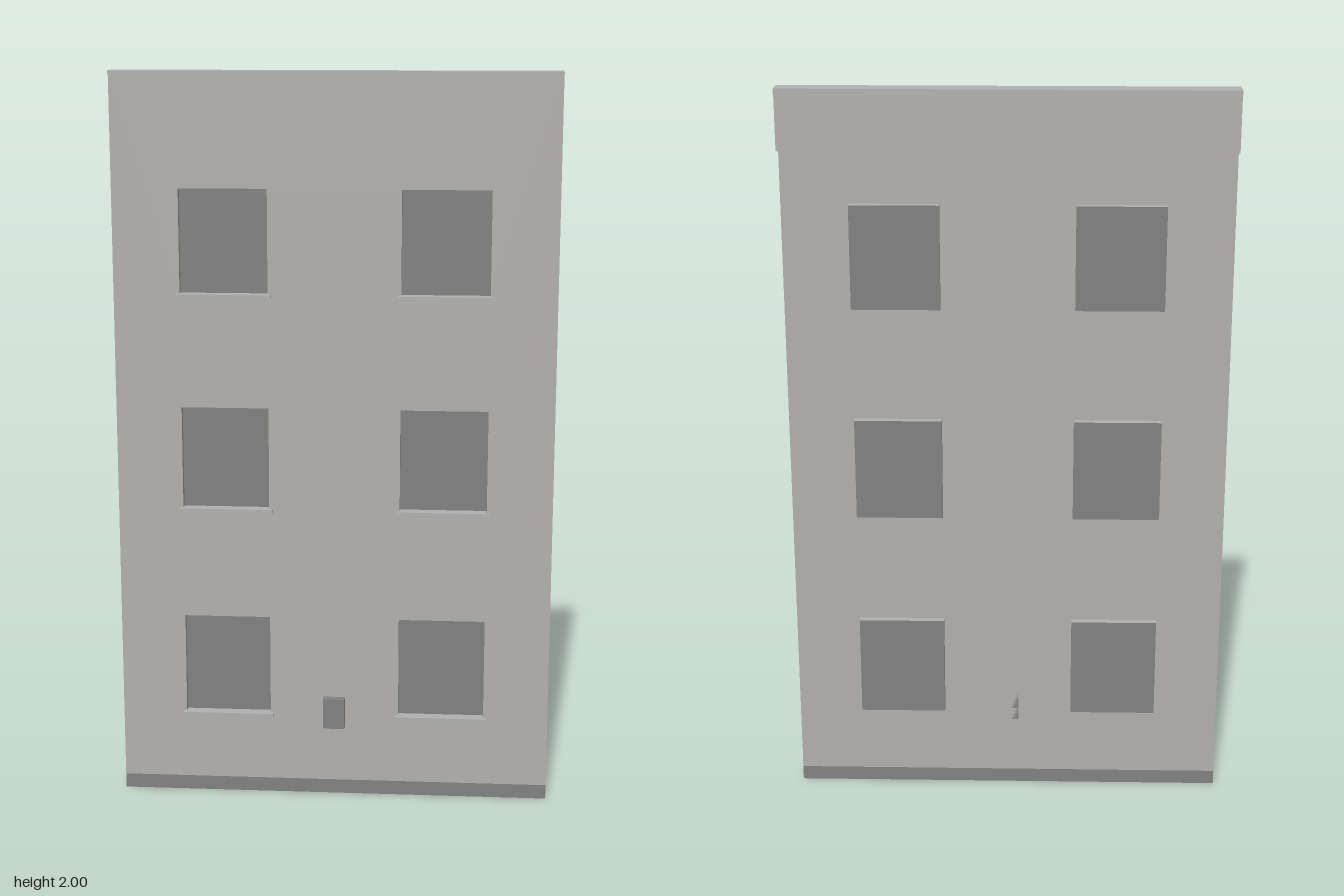
import * as THREE from 'three';

const W = 1.184;          // facade width
const WALL_Z = 0.012;     // plane of the wall
const GLASS_Z = -0.008;   // plane of the recessed panes
const WIN_W = 0.236, WIN_H = 0.28;

const makeMaterial = (name, color) => {
  const m = new THREE.MeshStandardMaterial({ color, side: THREE.DoubleSide });
  m.name = name;
  return m;
};

// Open sheet running along x, following a (z, y) profile
function sheet(profile, width) {
  const pos = [];
  const h = width / 2;
  for (let i = 0; i < profile.length - 1; i++) {
    const [z0, y0] = profile[i], [z1, y1] = profile[i + 1];
    pos.push(-h, y0, z0, h, y0, z0, h, y1, z1);
    pos.push(-h, y0, z0, h, y1, z1, -h, y1, z1);
  }
  const g = new THREE.BufferGeometry();
  g.setAttribute('position', new THREE.Float32BufferAttribute(pos, 3));
  g.computeVertexNormals();
  return g;
}

function rectangle(Type, x0, y0, x1, y1) {
  const r = new Type();
  r.moveTo(x0, y0);
  r.lineTo(x1, y0);
  r.lineTo(x1, y1);
  r.lineTo(x0, y1);
  r.closePath();
  return r;
}

export function createModel() {
  const model = new THREE.Group();
  model.name = 'facade';
  const plaster = makeMaterial('plaster', 0xb3b1ad);
  const trim = makeMaterial('trim', 0xb2b2b2);
  const darkGrey = makeMaterial('darkGrey', 0x828282);

  const add = (parent, name, geometry, material, x = 0, y = 0, z = 0) => {
    const mesh = new THREE.Mesh(geometry, material);
    mesh.name = name;
    mesh.position.set(x, y, z);
    parent.add(mesh);
    return mesh;
  };

  // Window centres: three storeys, two bays
  const centres = [];
  for (const y of [0.375, 0.965, 1.555]) for (const x of [-0.296, 0.296]) centres.push([x, y]);

  // Wall sheet with window openings
  const wall = rectangle(THREE.Shape, -W / 2, 0.04, W / 2, 1.99);
  for (const [x, y] of centres) {
    wall.holes.push(rectangle(THREE.Path, x - WIN_W / 2, y - WIN_H / 2, x + WIN_W / 2, y + WIN_H / 2));
  }
  add(model, 'wall', new THREE.ShapeGeometry(wall), plaster, 0, 0, WALL_Z);

  // Plinth band at the foot of the wall
  add(model, 'plinth', new THREE.PlaneGeometry(W, 0.04), darkGrey, 0, 0.02, WALL_Z);

  // Recessed windows with reveals and sills
  const depth = WALL_Z - GLASS_Z;
  const midZ = (WALL_Z + GLASS_Z) / 2;
  const paneGeo = new THREE.PlaneGeometry(WIN_W, WIN_H);
  const sideGeo = new THREE.PlaneGeometry(depth, WIN_H).rotateY(Math.PI / 2);
  const headGeo = new THREE.PlaneGeometry(WIN_W, depth).rotateX(Math.PI / 2);
  const sillGeo = new THREE.BoxGeometry(0.254, 0.01, 0.013);
  for (const [x, y] of centres) {
    const win = new THREE.Group();
    win.name = 'window';
    win.position.set(x, y, 0);
    add(win, 'pane', paneGeo, darkGrey, 0, 0, GLASS_Z);
    for (const s of [-1, 1]) {
      add(win, 'sideReveal', sideGeo, plaster, s * WIN_W / 2, 0, midZ);
      add(win, s > 0 ? 'headReveal' : 'bottomReveal', headGeo, plaster, 0, s * WIN_H / 2, midZ);
    }
    add(win, 'sill', sillGeo, trim, 0, -WIN_H / 2 - 0.005, WALL_Z + 0.0065);
    model.add(win);
  }

  // Small wall box near the entrance level
  add(model, 'wallBox', new THREE.BoxGeometry(0.06, 0.086, 0.023), darkGrey, 0, 0.243, WALL_Z + 0.0115);

  // Folded parapet cap, open at both ends, and the short back of the parapet
  const cap = [[WALL_Z, 1.988], [0.018, 1.988], [0.018, 2], [-0.04, 2], [-0.04, 1.988], [-0.034, 1.988]];
  add(model, 'parapetCap', sheet(cap, W), trim);
  add(model, 'parapetBack', sheet([[-0.034, 1.988], [-0.034, 1.84]], W), plaster);

  return model;
}
